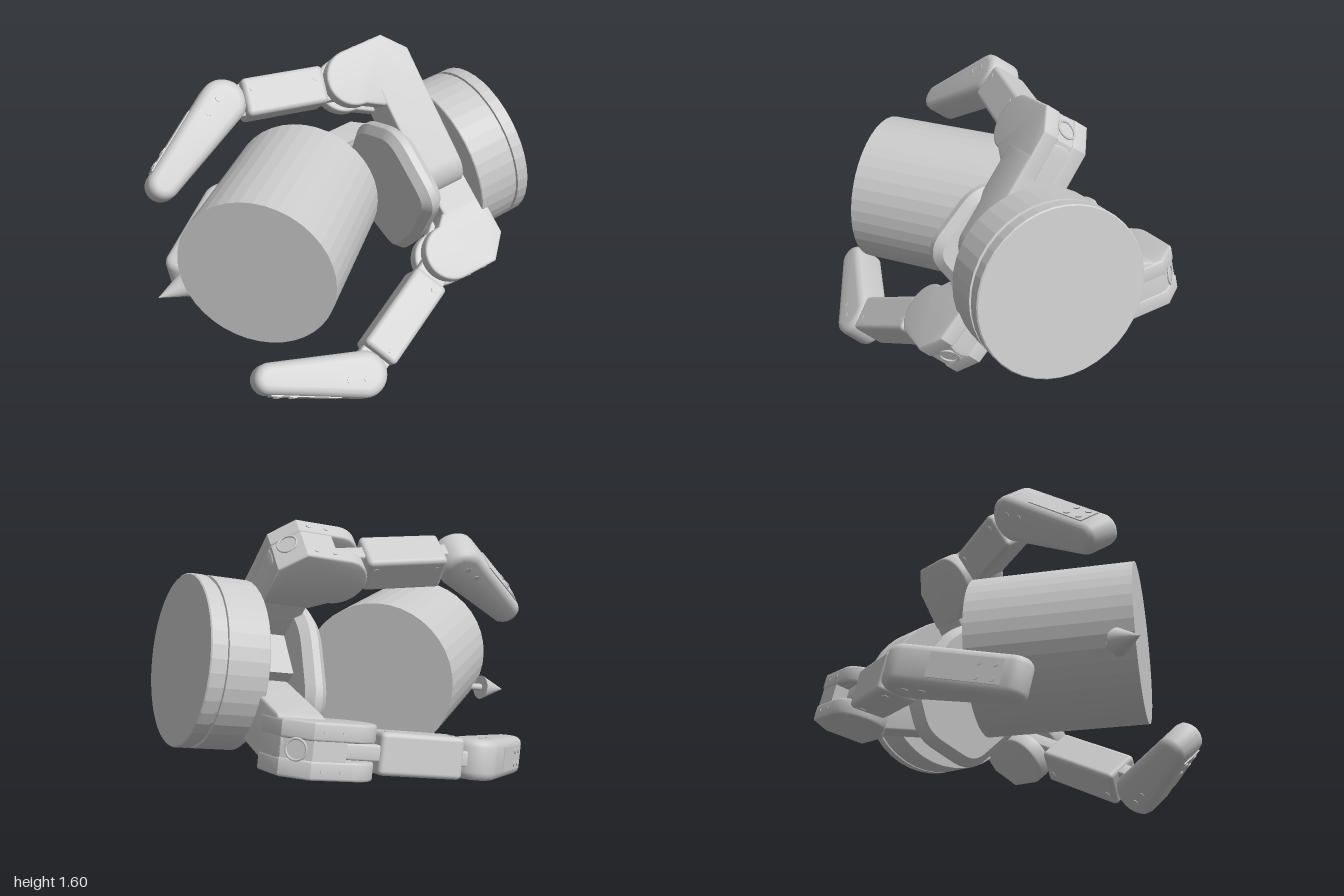
import * as THREE from 'three';
import { toCreasedNormals } from 'three/addons/utils/BufferGeometryUtils.js';
import { RoundedBoxGeometry } from 'three/addons/geometries/RoundedBoxGeometry.js';

const material = new THREE.MeshStandardMaterial({ color: 0xcccccc });
const flat = new THREE.MeshStandardMaterial({ color: 0xcccccc, flatShading: true });

function add(parent, name, geometry, mat = material) {
  const mesh = new THREE.Mesh(geometry, mat);
  mesh.name = name;
  parent.add(mesh);
  return mesh;
}

// Tapered capsule outline between two points
function capsule(p, r1, q, r2) {
  const a = Math.atan2(q[1] - p[1], q[0] - p[0]), h = Math.PI / 2;
  const s = new THREE.Shape();
  s.absarc(p[0], p[1], r1, a + h, a + 3 * h);
  s.absarc(q[0], q[1], r2, a - h, a + h);
  return s;
}

// Bevelled slab of a total thickness, centred on its own plane
function slab(shape, thickness, bevel, bevelSegments = 3) {
  const depth = thickness - 2 * bevel;
  const g = new THREE.ExtrudeGeometry(shape, {
    depth, curveSegments: 14, bevelEnabled: bevel > 0, bevelThickness: bevel,
    bevelSize: bevel, bevelOffset: -bevel, bevelSegments,
  });
  return toCreasedNormals(g.translate(0, 0, -depth / 2), 0.6);
}

// Slab standing in the bending plane of a finger (x outward, z forward)
const upright = (shape, thickness, bevel) => slab(shape, thickness, bevel).rotateX(Math.PI / 2);

function screws(parent, points, y) {
  for (const [x, z] of points) for (const side of [-1, 1]) {
    const screw = add(parent, 'screw', new THREE.CylinderGeometry(0.017, 0.017, 0.006, 10));
    screw.position.set(x, side * y, z);
  }
}

// j1 is the knuckle joint, j2 the middle joint, tip the end: each [outward, forward]
function makeFinger(name, { base, angle, j1, j2, tip }) {
  const finger = new THREE.Group();
  finger.name = name;
  finger.position.set(...base);
  finger.rotation.z = THREE.MathUtils.degToRad(angle);

  // Knuckle bracket: two cheeks around a slot, joined by a body
  const cheek = new THREE.Shape();
  cheek.moveTo(-0.2, 0.31);
  cheek.lineTo(0.03, 0.31);
  cheek.lineTo(0.15, 0.42);
  cheek.absarc(j1[0], j1[1], 0.15, 0, Math.PI);
  cheek.lineTo(-0.2, 0.57);
  for (const side of [-1, 1]) {
    add(finger, 'knuckleCheek', upright(cheek, 0.09, 0.012)).position.y = side * 0.09;
  }
  const body = new THREE.Shape([[-0.2, 0.315], [0.025, 0.315], [0.145, 0.425], [0.145, 0.6], [-0.2, 0.56]]
    .map(p => new THREE.Vector2(...p)));
  add(finger, 'knuckleBody', upright(body, 0.2, 0));
  const socket = add(finger, 'knuckleSocket', new THREE.TorusGeometry(0.05, 0.006, 8, 20));
  socket.position.set(0.09, 0, 0.365);
  socket.rotation.y = Math.PI - 0.83;
  for (const z of [0.48, 0.58]) for (const y of [-0.09, 0.09]) {
    const pin = add(finger, 'knucklePin', new THREE.CylinderGeometry(0.012, 0.012, 0.006, 10));
    pin.position.set(0.15, y, z);
    pin.rotation.z = Math.PI / 2;
  }

  // Middle link: narrow tongue with a wider housing over it
  add(finger, 'linkTongue', upright(capsule(j1, 0.085, j2, 0.085), 0.08, 0.01));
  const dx = j2[0] - j1[0], dz = j2[1] - j1[1], length = Math.hypot(dx, dz) * 0.63;
  const link = new THREE.Group();
  link.name = 'middleLink';
  link.position.set(j1[0] + dx * 0.53, 0, j1[1] + dz * 0.53);
  link.rotation.y = Math.atan2(dx, dz);
  finger.add(link);
  add(link, 'linkHousing', new RoundedBoxGeometry(0.2, 0.21, length, 3, 0.025));
  screws(link, [[0.04, 0.05 - length / 2], [0.04, length / 2 - 0.05]], 0.105);

  // Fingertip: rounded and tapered, with a screwed cover plate on its outer side
  add(finger, 'fingertip', upright(capsule(j2, 0.12, tip, 0.08), 0.205, 0.04));
  const cover = new THREE.Group();
  cover.name = 'fingertipCover';
  cover.position.set((j2[0] + tip[0]) / 2, 0, (j2[1] + tip[1]) / 2);
  cover.rotation.y = Math.atan2(tip[0] - j2[0], tip[1] - j2[1]);
  finger.add(cover);
  const plate = add(cover, 'coverPlate', new THREE.BoxGeometry(0.02, 0.125, 0.36));
  plate.position.set(0.091, 0, 0.06);
  plate.rotation.y = -0.075;
  for (const z of [0.06, 0.14]) for (const y of [-0.035, 0.035]) {
    const s = add(plate, 'coverScrew', new THREE.CylinderGeometry(0.017, 0.017, 0.01, 10));
    s.rotation.z = Math.PI / 2;
    s.position.set(0.01, y, z);
  }
  screws(cover, [[0.03, -0.25], [0.03, -0.16]], 0.1025);
  return finger;
}

export function createModel() {
  const model = new THREE.Group();
  model.name = 'gripperHoldingCylinder';

  // Held cylinder
  const held = add(model, 'heldCylinder', new THREE.CylinderGeometry(0.415, 0.415, 0.835, 40), flat);
  held.rotation.x = Math.PI / 2;
  held.position.set(-0.235, 0.74, 0.363);

  // Tilted hand: x along the hinges, y across the fingers, z forward from the base
  const hand = new THREE.Group();
  hand.name = 'hand';
  const forward = new THREE.Vector3(-0.69, -0.19, 0.7).normalize();
  const across = forward.clone().cross(new THREE.Vector3(0.44, 0.65, 0.62)).normalize();
  const hinge = across.clone().cross(forward);
  hand.quaternion.setFromRotationMatrix(new THREE.Matrix4().makeBasis(hinge, across, forward));
  hand.position.set(0.635, 0.906, -0.6);
  model.add(hand);

  // Round base with a groove near its back face
  const profile = [[0, -0.01], [0.437, -0.01], [0.443, -0.004], [0.443, 0.06], [0.43, 0.062], [0.43, 0.08],
    [0.443, 0.082], [0.443, 0.295], [0.438, 0.3], [0, 0.3]].map(p => new THREE.Vector2(...p));
  add(hand, 'base', toCreasedNormals(new THREE.LatheGeometry(profile, 40).rotateX(Math.PI / 2), 0.1));

  // Palm stem and chamfered palm pad
  add(hand, 'palmStem', new THREE.BoxGeometry(0.32, 0.34, 0.28)).position.z = 0.42;
  const corners = [[0.43, -0.23], [0.4, 0.21], [0.03, 0.38], [-0.4, 0.26], [-0.5, -0.05], [-0.33, -0.37], [0.03, -0.34]]
    .map(p => new THREE.Vector2(...p));
  const palm = new THREE.Shape();
  corners.forEach((c, i) => {
    const before = c.clone().lerp(corners[(i + 6) % 7], 0.3), after = c.clone().lerp(corners[(i + 1) % 7], 0.3);
    if (i) palm.lineTo(before.x, before.y); else palm.moveTo(before.x, before.y);
    palm.quadraticCurveTo(c.x, c.y, after.x, after.y);
  });
  palm.closePath();
  add(hand, 'palmPad', slab(palm, 0.12, 0.04, 1)).position.z = 0.585;

  // Fingers, each on an arm reaching out from the palm
  const fingers = {
    upperFinger: { base: [0.25, 0.575, 0], angle: 85, j1: [0, 0.66], j2: [0.16, 1.34], tip: [-0.09, 1.79], hub: [0.21, -0.03] },
    rearFinger: { base: [-0.69, 0.29, -0.04], angle: 130, j1: [0, 0.66], j2: [0.08, 1.37], tip: [-0.23, 1.8], hub: [-0.25, 0] },
    opposingFinger: { base: [0.13, -0.49, -0.05], angle: -87, j1: [0, 0.62], j2: [0.34, 1.34], tip: [0.13, 1.785], hub: [0.11, -0.1] },
  };
  for (const [name, f] of Object.entries(fingers)) {
    const end = f.hub.map((v, i) => f.base[i] + (v - f.base[i]) * 0.2);
    add(hand, name + 'Arm', slab(capsule(f.hub, 0.134, end, 0.134), 0.25, 0.012)).position.z = 0.437 + f.base[2];
    hand.add(makeFinger(name, f));
  }

  // Arrow along the approach axis, coming out of the held cylinder
  const shaft = add(hand, 'arrowShaft', new THREE.CylinderGeometry(0.02, 0.02, 0.65, 12));
  shaft.rotation.x = Math.PI / 2;
  shaft.position.z = 1.55;
  const head = add(hand, 'arrowHead', new THREE.ConeGeometry(0.07, 0.16, 20));
  head.rotation.x = Math.PI / 2;
  head.position.z = 1.945;
  return model;
}
